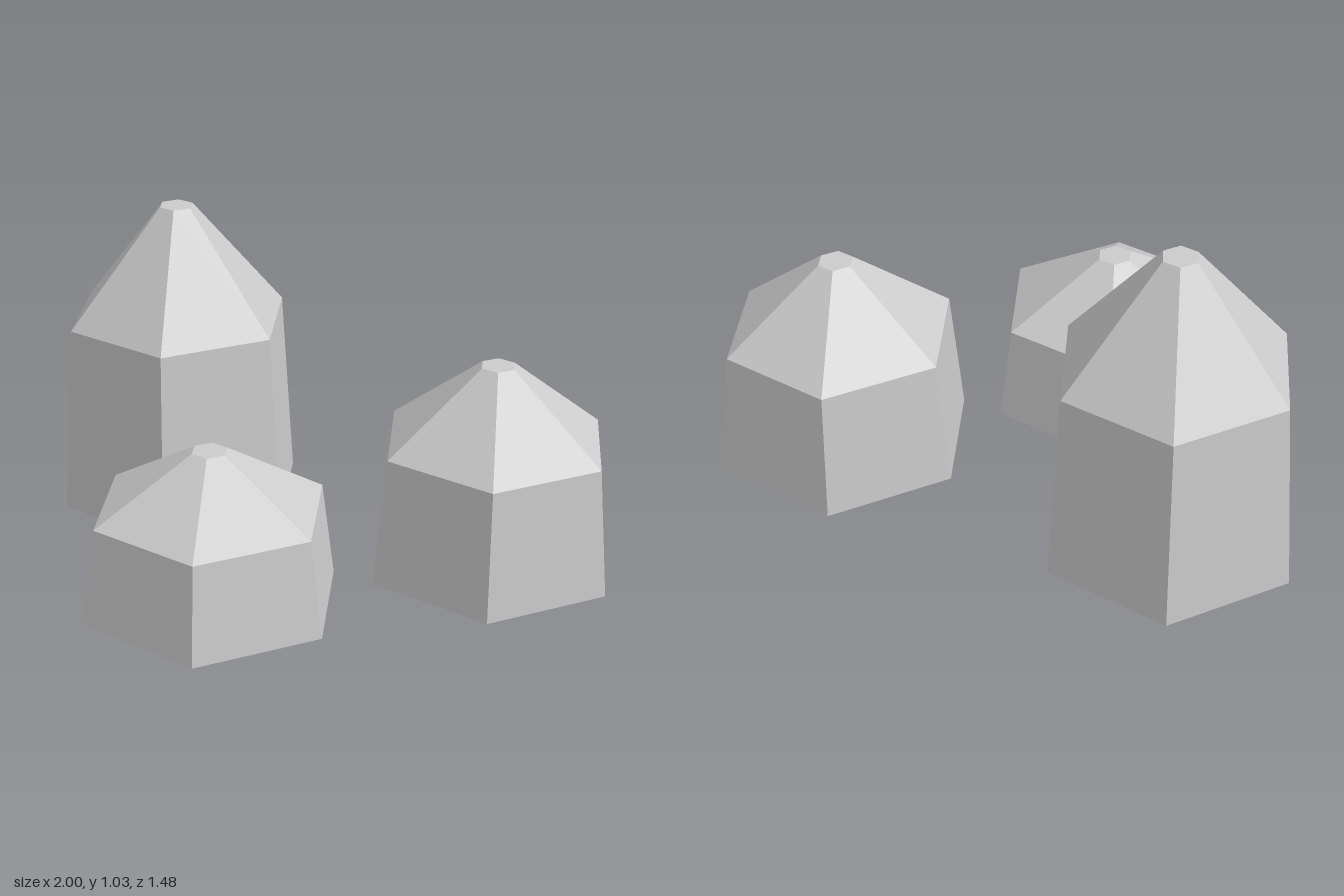
import * as THREE from 'three';

const BASE_RADIUS = 0.425;
const SHOULDER_RADIUS = 0.382;
const TIP_RADIUS = 0.058;

// Six-sided column: tapered shaft, sloping shoulders, small flat tip, closed base
function crystalColumn(name, x, z, height, material) {
  const profile = [
    [0, 0],
    [BASE_RADIUS, 0],
    [SHOULDER_RADIUS, height * 0.623],
    [TIP_RADIUS, height],
    [0, height],
  ].map(([r, y]) => new THREE.Vector2(r, y));
  // Turned so that corners point along x
  const column = new THREE.Mesh(new THREE.LatheGeometry(profile, 6, Math.PI / 6), material);
  column.name = name;
  column.position.set(x, 0, z);
  return column;
}

export function createModel() {
  const group = new THREE.Group();
  group.name = 'crystalCluster';
  const material = new THREE.MeshStandardMaterial({ color: 0xcccccc, flatShading: true });

  group.add(
    crystalColumn('tallColumn', -0.575, -0.202, 1.029, material),
    crystalColumn('mediumColumn', 0.573, -0.37, 0.686, material),
    crystalColumn('shortColumn', 0, 0.37, 0.515, material),
  );
  return group;
}
